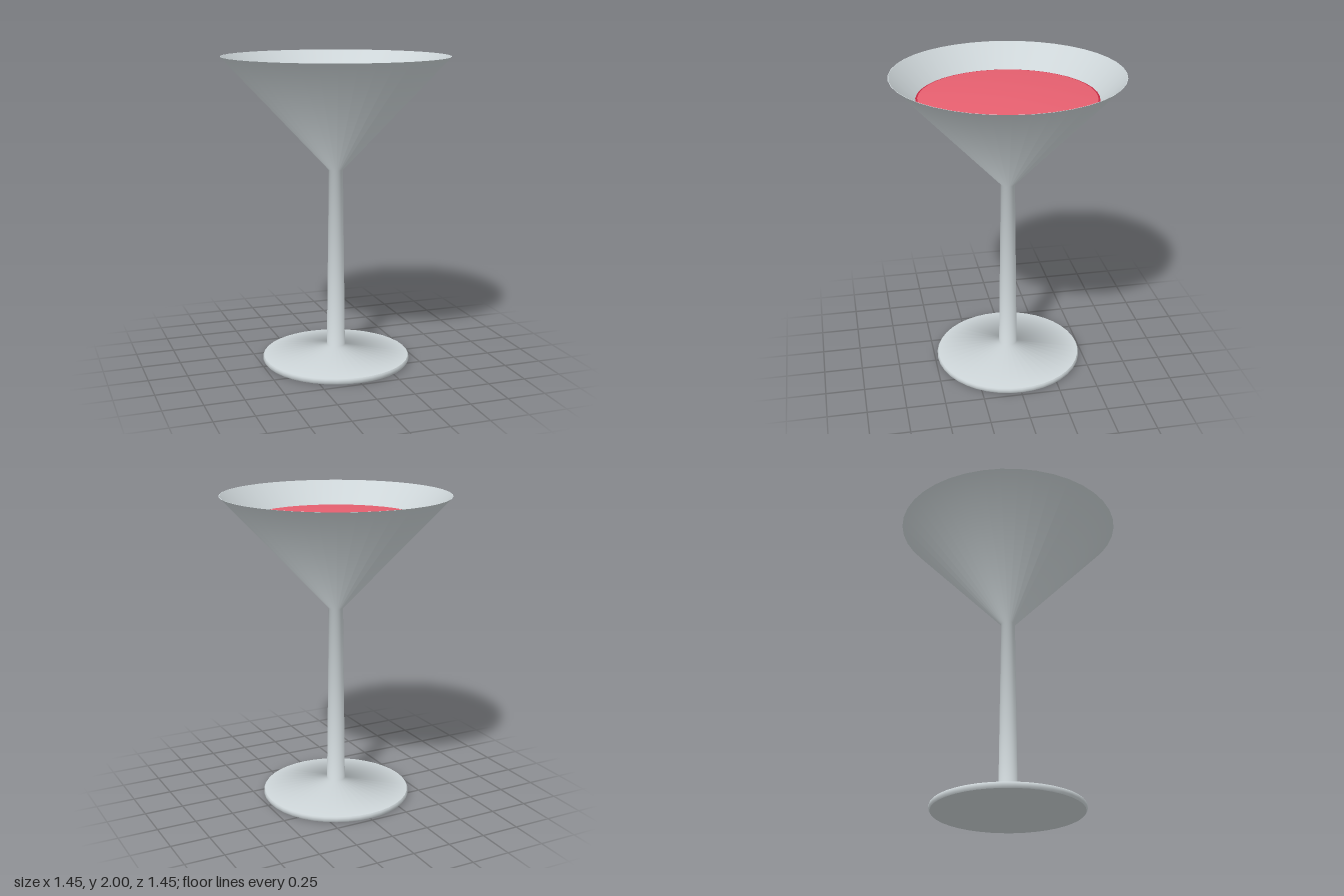
import * as THREE from 'three';

const SEGMENTS = 40;

// Surface of revolution from [radius, height] pairs
function revolve(name, material, profile) {
  const points = profile.map(([r, y]) => new THREE.Vector2(r, y));
  const mesh = new THREE.Mesh(new THREE.LatheGeometry(points, SEGMENTS), material);
  mesh.name = name;
  return mesh;
}

export function createModel() {
  const glass = new THREE.MeshStandardMaterial({ color: 0xced6d9 });
  glass.name = 'pale grey glass';
  const drinkTop = new THREE.MeshStandardMaterial({ color: 0xe86070 });
  drinkTop.name = 'light red drink surface';
  const drinkBody = new THREE.MeshStandardMaterial({ color: 0xc22a42 });
  drinkBody.name = 'deep red drink';

  const model = new THREE.Group();
  model.name = 'cocktailGlass';

  // Foot: flat underside and a thin edge rounded towards the ground
  model.add(revolve('footUnderside', glass, [[0, 0], [0.476, 0]]));
  model.add(revolve('footEdge', glass, [[0.476, 0], [0.484, 0.012], [0.484, 0.028], [0.478, 0.037]]));

  // Foot slope, tapered stem and outer bowl flow into each other smoothly
  model.add(revolve('footStemAndBowl', glass, [
    [0.478, 0.037], [0.06, 0.1], [0.046, 1.275], [0.725, 2],
  ]));

  // Fine lip and the inside wall of the bowl
  model.add(revolve('bowlLip', glass, [[0.725, 2], [0.721, 2]]));
  model.add(revolve('bowlInside', glass, [[0.721, 2], [0.03, 1.285], [0, 1.285]]));

  // Drink body: fills the bowl and shows as a narrow ring around the surface
  model.add(revolve('drinkBody', drinkBody, [[0, 1.3], [0.03, 1.3], [0.565, 1.852]]));
  model.add(revolve('drinkRing', drinkBody, [[0.565, 1.852], [0.54, 1.855]]));

  // Gently domed drink surface
  const dome = [];
  for (let i = 0; i <= 6; i++) {
    const t = 1 - i / 6;
    dome.push([0.553 * t, 1.855 + 0.03 * (1 - t * t)]);
  }
  model.add(revolve('drinkSurface', drinkTop, dome));

  return model;
}
